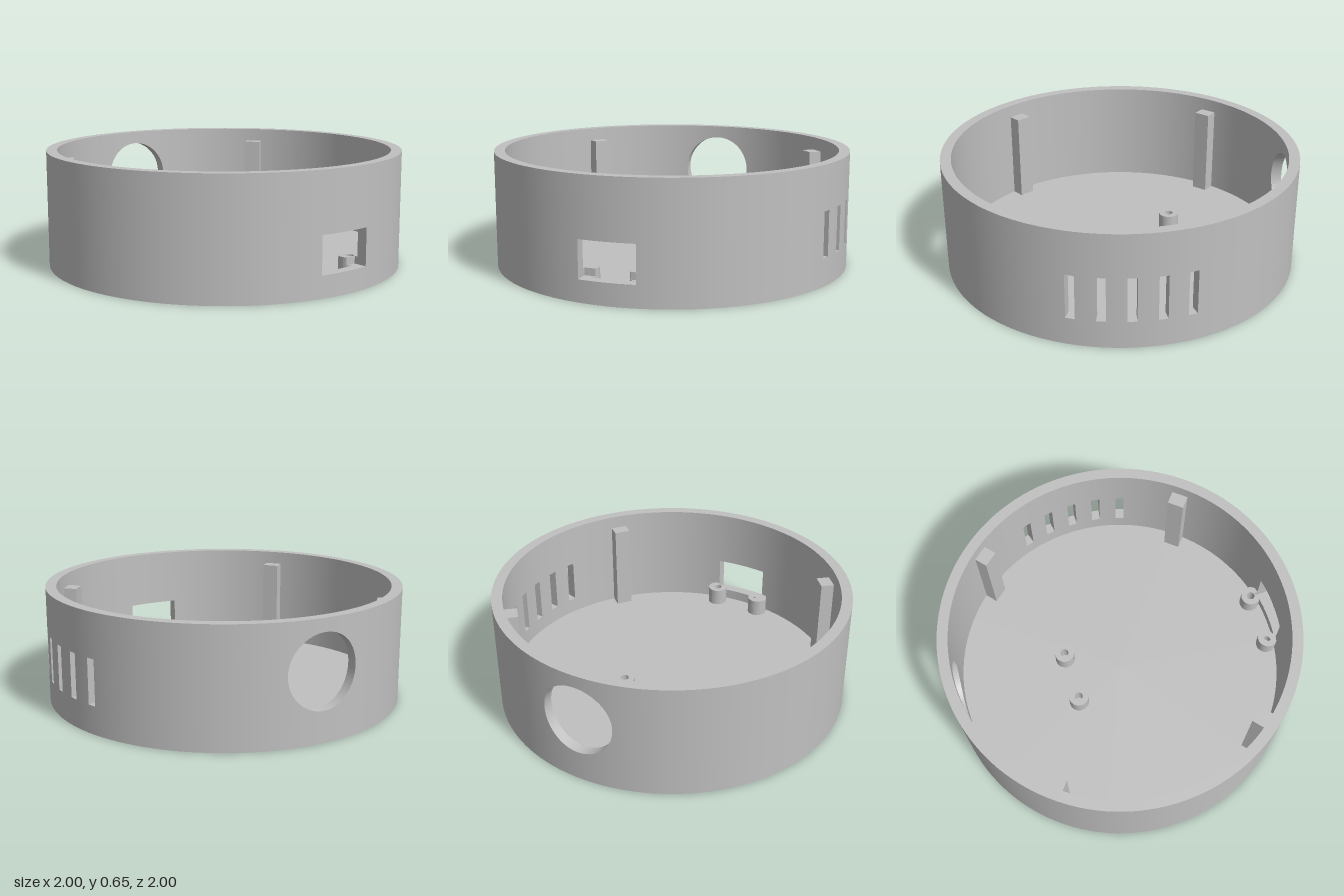
import * as THREE from 'three';

const R = 1, RI = 0.94, H = 0.65, FLOOR = 0.06;
const RAD = Math.PI / 180;

// Openings cut straight through the wall, in order around the ring (0 = +x, 90 = +z).
// span(t) gives the lower and upper edge at sideways offset t.
const openings = [
  { phi: 0, half: 0.153, steps: 8, span: () => [0.12, 0.325] },
  { phi: 180, half: 0.203, steps: 36, span: (t) => {
    const h = Math.sqrt(Math.max(0, 0.203 ** 2 - t * t));
    return [0.375 - h, 0.375 + h];
  } },
  ...[-18, -9, 0, 9, 18].map((d) => ({ phi: 270 + d, half: 0.025, steps: 2, span: () => [0.155, 0.405] })),
];

// Ring wall made of vertical columns between stations; columns in an opening are split in two.
function wallGeometry() {
  const pos = [], nor = [];
  const P = (r, a, y) => new THREE.Vector3(r * Math.cos(a), y, r * Math.sin(a));
  const radial = (s) => (p) => new THREE.Vector3(p.x, 0, p.z).normalize().multiplyScalar(s);
  // Quad facing along `face`; curved surfaces use it per corner as a smooth normal
  const quad = (a, b, c, d, face, smooth) => {
    for (let tri of [[a, b, c], [a, c, d]]) {
      const n = tri[1].clone().sub(tri[0]).cross(tri[2].clone().sub(tri[0]));
      if (n.lengthSq() < 1e-14) continue;
      n.normalize();
      if (n.dot(face(tri[0])) < 0) { tri = [tri[0], tri[2], tri[1]]; n.negate(); }
      for (const p of tri) {
        pos.push(p.x, p.y, p.z);
        nor.push(...(smooth ? face(p) : n).toArray());
      }
    }
  };
  const up = () => new THREE.Vector3(0, 1, 0), down = () => new THREE.Vector3(0, -1, 0);
  const strip = (s, e, y0, y1) => {
    quad(P(R, s.o, y0[0]), P(R, e.o, y0[1]), P(R, e.o, y1[1]), P(R, s.o, y1[0]), radial(1), true);
    quad(P(RI, s.i, y0[0]), P(RI, e.i, y0[1]), P(RI, e.i, y1[1]), P(RI, s.i, y1[0]), radial(-1), true);
  };
  const ledge = (s, e, y, face) =>
    quad(P(R, s.o, y[0]), P(R, e.o, y[1]), P(RI, e.i, y[1]), P(RI, s.i, y[0]), face);
  const column = (s, e, open) => {
    ledge(s, e, [0, 0], down);
    ledge(s, e, [H, H], up);
    if (!open) return strip(s, e, [0, 0], [H, H]);
    const lo = [s.lo, e.lo], hi = [s.hi, e.hi];
    strip(s, e, [0, 0], lo);
    strip(s, e, hi, [H, H]);
    ledge(s, e, lo, up);
    ledge(s, e, hi, down);
  };
  const station = (op, t, turn = 0) => {
    const [lo, hi] = op.span(t), a = op.phi * RAD + turn;
    return { o: a + Math.asin(t / R), i: a + Math.asin(t / RI), lo, hi };
  };
  openings.forEach((op, k) => {
    const row = [];
    for (let j = 0; j <= op.steps; j++) row.push(station(op, -op.half * Math.cos(Math.PI * j / op.steps)));
    for (let j = 0; j < op.steps; j++) column(row[j], row[j + 1], true);
    // Side faces of the opening
    const first = row[0], last = row[op.steps];
    for (const [s, sign] of [[first, 1], [last, -1]]) {
      const a = op.phi * RAD;
      quad(P(R, s.o, s.lo), P(R, s.o, s.hi), P(RI, s.i, s.hi), P(RI, s.i, s.lo),
        () => new THREE.Vector3(-Math.sin(a) * sign, 0, Math.cos(a) * sign));
    }
    // Plain wall up to the next opening
    const next = openings[(k + 1) % openings.length];
    const end = station(next, -next.half, k + 1 === openings.length ? 2 * Math.PI : 0);
    const n = Math.ceil((end.o - last.o) / (3 * RAD));
    const at = (f) => ({ o: last.o + (end.o - last.o) * f, i: last.i + (end.i - last.i) * f });
    for (let j = 0; j < n; j++) column(at(j / n), at((j + 1) / n), false);
  });
  const g = new THREE.BufferGeometry();
  g.setAttribute('position', new THREE.Float32BufferAttribute(pos, 3));
  g.setAttribute('normal', new THREE.Float32BufferAttribute(nor, 3));
  return g;
}

// Hollow screw boss; a notched one has a corner cut away where the port passes
function bossGeometry(height, notchSide) {
  const r = 0.057, s = new THREE.Shape();
  if (notchSide) {
    const a0 = 10 * RAD, a1 = 302 * RAD;
    for (let j = 0; j <= 28; j++) {
      const a = a0 + (a1 - a0) * j / 28;
      s.lineTo(r * Math.cos(a), -notchSide * r * Math.sin(a));
    }
    s.lineTo(0.03, -notchSide * 0.01);
    s.curves.shift();
    s.closePath();
  } else s.absarc(0, 0, r, 0, Math.PI * 2);
  s.holes.push(new THREE.Path().absarc(0, 0, 0.023, 0, Math.PI * 2, true));
  return new THREE.ExtrudeGeometry(s, { depth: height, bevelEnabled: false, curveSegments: 16 }).rotateX(-Math.PI / 2);
}

export function createModel() {
  const model = new THREE.Group();
  model.name = 'roundCase';
  const grey = new THREE.MeshStandardMaterial({ color: 0xc0c0c0 });
  grey.name = 'grey plastic';
  const add = (name, geo, x = 0, y = 0, z = 0) => {
    const m = new THREE.Mesh(geo, grey);
    m.name = name;
    m.position.set(x, y, z);
    model.add(m);
    return m;
  };

  add('wall', wallGeometry());
  add('floor', new THREE.CylinderGeometry(RI, RI, FLOOR, 128), 0, FLOOR / 2, 0);

  // Four lid posts against the wall
  const postTop = 0.575, postAngle = 50 * RAD;
  for (const sx of [-1, 1]) for (const sz of [-1, 1]) {
    const x = sx * Math.cos(postAngle) * 0.907, z = sz * Math.sin(postAngle) * 0.907;
    const post = add('lidPost', new THREE.BoxGeometry(0.085, postTop - FLOOR, 0.094), x, (postTop + FLOOR) / 2, z);
    post.rotation.y = -Math.atan2(z, x);
  }

  // Board bosses; the pair beside the port is notched above its sill
  for (const side of [-1, 1]) {
    add('innerBoss', bossGeometry(0.10, 0), -0.3, FLOOR, side * 0.142);
    add('portBossBase', bossGeometry(0.06, 0), 0.88, FLOOR, side * 0.142);
    add('portBossTop', bossGeometry(0.04, side), 0.88, 0.12, side * 0.142);
  }
  return model;
}
